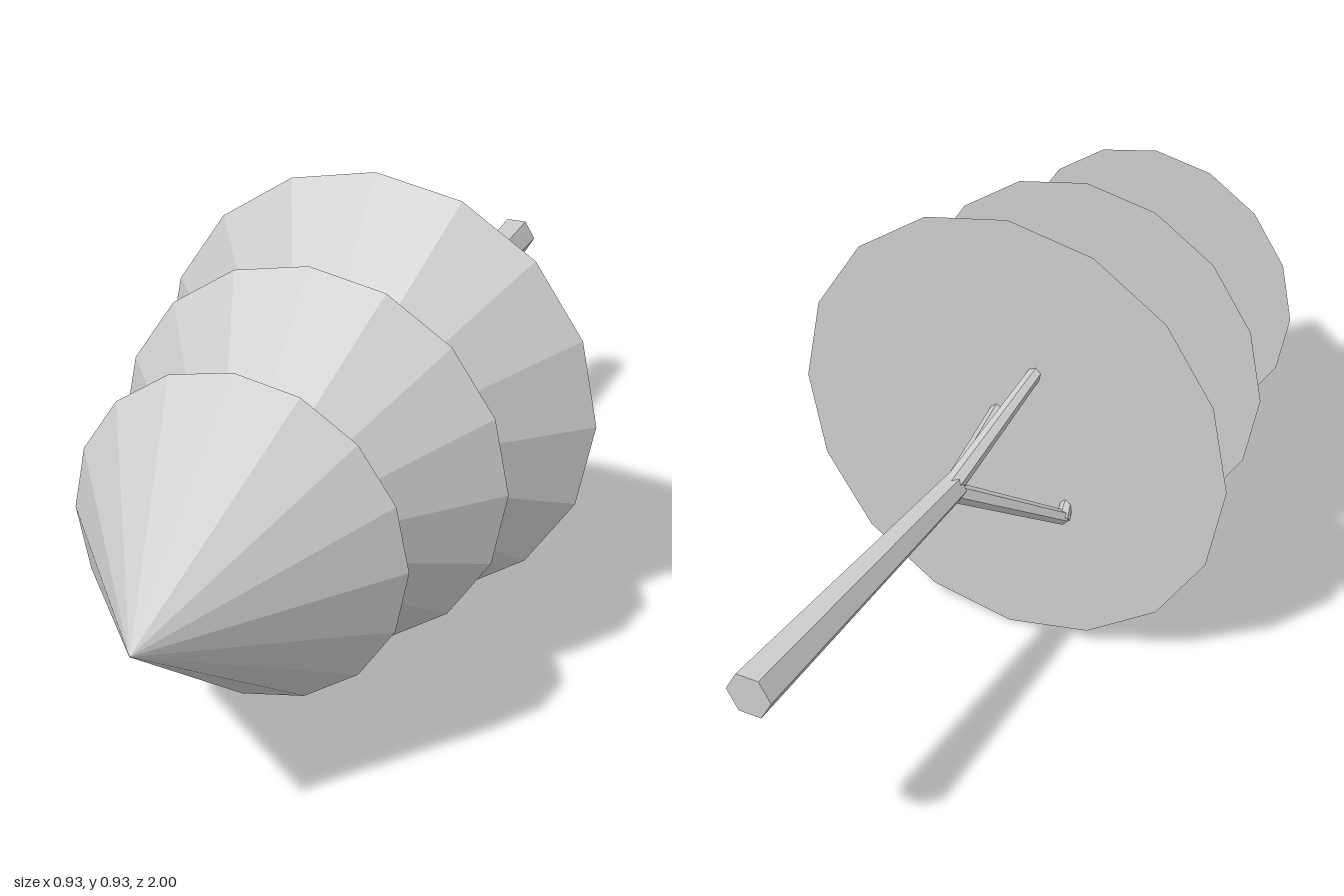
import * as THREE from 'three';

const AXIS_Y = 0.465; // height of the lying tree's axis

export function createModel() {
  const tree = new THREE.Group();
  tree.name = 'lyingTree';
  const grey = new THREE.MeshStandardMaterial({ color: 0xcccccc, flatShading: true });
  grey.name = 'light grey';

  const add = (name, geometry) => {
    const mesh = new THREE.Mesh(geometry, grey);
    mesh.name = name;
    tree.add(mesh);
    return mesh;
  };

  // Tapered six-sided limb from point a to point b, relative to the axis
  const limb = (name, a, b, ra, rb) => {
    const start = new THREE.Vector3(...a);
    const end = new THREE.Vector3(...b);
    const dir = end.clone().sub(start);
    const mesh = add(name, new THREE.CylinderGeometry(rb, ra, dir.length(), 6));
    mesh.quaternion.setFromUnitVectors(new THREE.Vector3(0, 1, 0), dir.normalize());
    mesh.position.copy(start).add(end).multiplyScalar(0.5);
    mesh.position.y += AXIS_Y;
  };

  // Foliage tiers: equal-height cones pointing to +z
  const tierHeight = 0.42;
  [['topTier', 0.325, 0.58], ['middleTier', 0.395, 0.247], ['bottomTier', 0.465, -0.086]]
    .forEach(([name, radius, baseZ]) => {
      const cone = new THREE.ConeGeometry(radius, tierHeight, 16).rotateX(Math.PI / 2);
      add(name, cone).position.set(0, AXIS_Y, baseZ + tierHeight / 2);
    });

  // Trunk, wider at the root end, with corners on its two sides
  const trunk = new THREE.CylinderGeometry(0.028, 0.045, 0.695, 6)
    .rotateY(Math.PI / 2).rotateX(Math.PI / 2);
  add('trunk', trunk).position.set(0, AXIS_Y, -0.6525);

  // Three branches forking from the trunk into the foliage
  limb('upperBranch', [0, 0.005, -0.315], [-0.06, 0.155, -0.07], 0.02, 0.014);
  limb('middleBranch', [0, 0, -0.315], [0.027, 0.043, -0.07], 0.02, 0.015);
  limb('lowerBranch', [0, -0.005, -0.315], [-0.13, -0.155, -0.1], 0.02, 0.015);

  // Short twig turning up at the end of the lower branch
  limb('lowerTwig', [-0.13, -0.155, -0.105], [-0.125, -0.125, -0.07], 0.015, 0.011);
  return tree;
}
